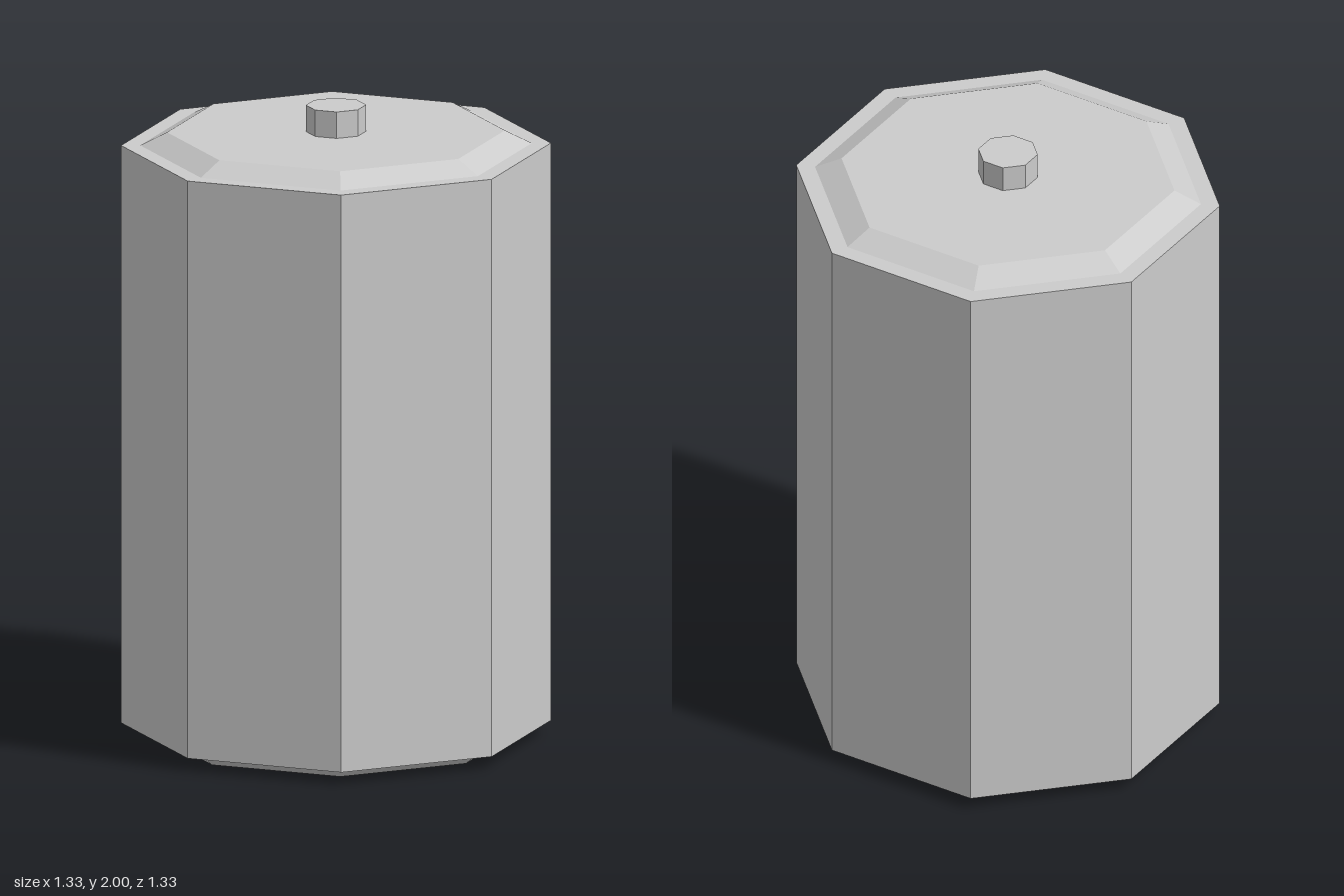
import * as THREE from 'three';

const SIDES = 8;

export function createModel() {
  const group = new THREE.Group();
  const material = new THREE.MeshStandardMaterial({ color: 0xcccccc, flatShading: true });

  // Eight-sided prism or frustum standing between two heights
  function addPrism(name, bottomRadius, topRadius, y0, y1) {
    const geometry = new THREE.CylinderGeometry(topRadius, bottomRadius, y1 - y0, SIDES);
    const mesh = new THREE.Mesh(geometry, material);
    mesh.name = name;
    mesh.position.y = (y0 + y1) / 2;
    group.add(mesh);
  }

  addPrism('body', 0.664, 0.664, 0.04, 1.875);
  // Bevelled end plates
  addPrism('bottomPlate', 0.555, 0.605, 0, 0.04);
  addPrism('topPlate', 0.605, 0.522, 1.875, 1.916);
  // Raised contact in the middle of the top
  addPrism('terminal', 0.093, 0.093, 1.916, 2);

  return group;
}
